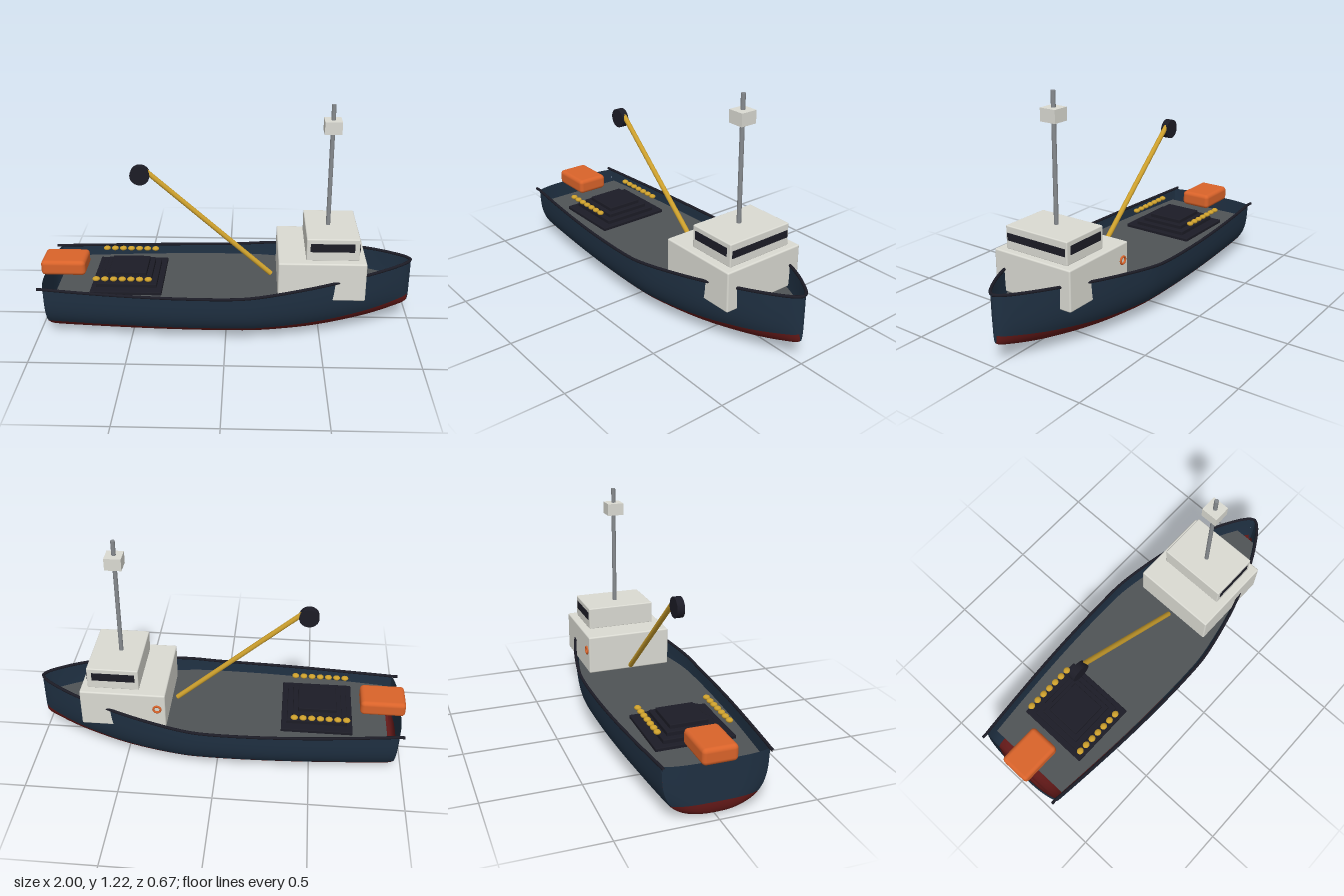
import * as THREE from 'three';
import { RoundedBoxGeometry } from 'three/addons/geometries/RoundedBoxGeometry.js';

const mat = (name, color, side = THREE.FrontSide) => {
  const m = new THREE.MeshStandardMaterial({ color, side });
  m.name = name;
  return m;
};

// Hull stations from stern to bow: x, half beam, sheer height, keel height, waterline height
const STATIONS = [
  [-0.952, 0.263, 0.293, 0.016, 0.084], [-0.935, 0.266, 0.293, 0.007, 0.084],
  [-0.89, 0.271, 0.292, 0.003, 0.084], [-0.7, 0.29, 0.288, 0.002, 0.084],
  [-0.45, 0.311, 0.285, 0.002, 0.084], [-0.2, 0.324, 0.284, 0.002, 0.085],
  [0.05, 0.328, 0.288, 0.003, 0.087], [0.2, 0.32, 0.301, 0.004, 0.089],
  [0.4, 0.282, 0.322, 0.01, 0.097], [0.56, 0.238, 0.338, 0.024, 0.108],
  [0.72, 0.178, 0.353, 0.046, 0.123], [0.83, 0.126, 0.36, 0.068, 0.137],
  [0.92, 0.072, 0.364, 0.092, 0.15], [0.965, 0.038, 0.366, 0.107, 0.157],
  [0.986, 0.013, 0.367, 0.122, 0.163],
];
const beamCurve = new THREE.CatmullRomCurve3(
  STATIONS.map((s) => new THREE.Vector3(s[0], s[1], s[2])), false, 'catmullrom', 0.5);
const keelCurve = new THREE.CatmullRomCurve3(
  STATIONS.map((s) => new THREE.Vector3(s[0], s[3], s[4])), false, 'catmullrom', 0.5);

function station(u) {
  const a = beamCurve.getPoint(u), b = keelCurve.getPoint(u);
  return { x: a.x, beam: a.y, sheer: a.z, keel: b.y, water: b.z };
}
// Flat floor, firm bilge and slightly flared side: half width at height y
function halfWidth(s, y) {
  const t = THREE.MathUtils.clamp((y - s.keel) / (s.sheer - s.keel), 0, 1);
  return s.beam * Math.pow(1 - Math.pow(1 - t, 3.6), 0.4) * (0.965 + 0.035 * t);
}

// Surface swept over a grid of u, v in 0..1
function grid(nu, nv, fn) {
  const pos = [], index = [];
  for (let i = 0; i <= nu; i++) {
    for (let j = 0; j <= nv; j++) {
      pos.push(...fn(i / nu, j / nv));
      if (i < nu && j < nv) {
        const a = i * (nv + 1) + j, b = a + nv + 1;
        index.push(a, b, a + 1, b, b + 1, a + 1);
      }
    }
  }
  const g = new THREE.BufferGeometry();
  g.setAttribute('position', new THREE.Float32BufferAttribute(pos, 3));
  g.setIndex(index);
  g.computeVertexNormals();
  return g;
}

// Bulged plate closing one end of the hull between two heights
function endPlate(s, low, high, bulge) {
  return grid(12, 24, (u, v) => {
    const y = low + (high - low) * u * u, k = v * 2 - 1;
    const rise = Math.min(1, (y - s.keel) / 0.06);
    const swell = Math.sqrt(rise * (2 - rise)) * (1 - k ** 4);
    return [s.x + bulge * swell, y, Math.sign(bulge) * k * halfWidth(s, y)];
  });
}

export function createModel() {
  const root = new THREE.Group();
  root.name = 'workBoat';
  const M = {
    navy: mat('hullNavy', 0x1f3042, THREE.DoubleSide),
    red: mat('bottomRed', 0x641918, THREE.DoubleSide),
    black: mat('black', 0x1c1c26),
    deck: mat('deckGrey', 0x4f5356),
    white: mat('houseWhite', 0xdadad2),
    orange: mat('orange', 0xd9632a),
    yellow: mat('yellow', 0xcc9f2c),
    steel: mat('mastGrey', 0x868a8e),
  };
  const add = (name, geometry, material, x = 0, y = 0, z = 0) => {
    const m = new THREE.Mesh(geometry, material);
    m.name = name;
    m.position.set(x, y, z);
    root.add(m);
    return m;
  };
  // Box given by its limits, optionally rounded
  const block = (name, material, [x0, x1], [y0, y1], [z0, z1], r = 0) => {
    const d = [x1 - x0, y1 - y0, z1 - z0];
    const g = r ? new RoundedBoxGeometry(...d, 3, r) : new THREE.BoxGeometry(...d);
    return add(name, g, material, (x0 + x1) / 2, (y0 + y1) / 2, (z0 + z1) / 2);
  };

  // Red bottom, one skin from side to side across the keel
  add('hullBottom', grid(90, 36, (u, v) => {
    const s = station(u), k = v * 2 - 1;
    const y = s.keel + (s.water - s.keel) * Math.pow(Math.abs(k), 2.5);
    return [s.x, y, Math.sign(k) * halfWidth(s, y)];
  }), M.red);

  // Navy topsides and rail caps on both sides
  for (const side of [1, -1]) {
    const label = side > 0 ? 'Front' : 'Back';
    add('topside' + label, grid(90, 12, (u, v) => {
      const s = station(u);
      const y = s.water + (s.sheer - s.water) * (side > 0 ? v : 1 - v);
      return [s.x, y, side * halfWidth(s, y)];
    }), M.navy);
    const railPoints = [new THREE.Vector3(-0.985, 0.293, side * 0.264)];
    for (let i = 0; i <= 40; i++) {
      const s = station(i / 40);
      railPoints.push(new THREE.Vector3(s.x, s.sheer, side * s.beam));
    }
    railPoints.push(new THREE.Vector3(0.991, 0.367, 0));
    add('rail' + label, new THREE.TubeGeometry(
      new THREE.CatmullRomCurve3(railPoints), 100, 0.008, 8), M.black);
  }

  // Bowed transom in two colour bands, and the rounded stem
  const stern = station(0), bow = station(1);
  add('transomBottom', endPlate(stern, stern.keel, stern.water, -0.026), M.red);
  add('transomTop', endPlate(stern, stern.water, stern.sheer, -0.026), M.navy);
  add('stem', endPlate(bow, bow.keel, bow.sheer, 0.006), M.navy);

  // Deck plate set inside the bulwarks
  const edge = [];
  for (let i = 0; i <= 60; i++) {
    const s = station(i / 60);
    if (s.x > -0.915 && s.x < 0.93) edge.push(new THREE.Vector2(s.x, s.beam * 0.92));
  }
  const outline = edge.concat(edge.map((p) => new THREE.Vector2(p.x, -p.y)).reverse());
  const deckGeometry = new THREE.ExtrudeGeometry(new THREE.Shape(outline),
    { depth: 0.015, bevelEnabled: false });
  deckGeometry.rotateX(-Math.PI / 2);
  add('deck', deckGeometry, M.deck, 0, 0.222, 0);

  // Deckhouse and bridge
  block('deckhouse', M.white, [0.272, 0.727], [0.236, 0.449], [-0.235, 0.235], 0.008);
  block('bridge', M.white, [0.416, 0.69], [0.446, 0.568], [-0.19, 0.19], 0.006);
  block('bridgeFrontWindow', M.black, [0.686, 0.694], [0.493, 0.531], [-0.179, 0.179]);
  for (const side of [1, -1]) {
    const z = side * 0.19;
    block('bridgeSideWindow', M.black, [0.436, 0.664], [0.497, 0.542], [z - 0.003, z + 0.003]);
  }
  add('lifeRing', new THREE.TorusGeometry(0.019, 0.006, 8, 24), M.orange, 0.316, 0.362, -0.237);

  // Mast with its lamp box
  add('mast', new THREE.CylinderGeometry(0.0115, 0.0115, 0.67, 16), M.steel, 0.537, 0.891, 0);
  block('mastBox', M.white, [0.493, 0.581], [1.08, 1.146], [-0.045, 0.045]);

  // Slanted boom with a sheave at its head
  const foot = new THREE.Vector3(0.24, 0.268, -0.003);
  const tip = new THREE.Vector3(-0.425, 0.86, -0.003);
  const dir = tip.clone().sub(foot);
  const boom = add('boom', new THREE.CylinderGeometry(0.0135, 0.0135, dir.length(), 16), M.yellow);
  boom.position.copy(foot).add(tip).multiplyScalar(0.5);
  boom.quaternion.setFromUnitVectors(new THREE.Vector3(0, 1, 0), dir.normalize());
  const sheave = add('boomSheave', new THREE.CylinderGeometry(0.052, 0.052, 0.038, 24),
    M.black, -0.455, 0.837, 0);
  sheave.rotation.x = Math.PI / 2;

  // Stepped hatch
  const steps = [[0.19, 0.205, 0.254], [0.16, 0.155, 0.275], [0.13, 0.125, 0.296], [0.102, 0.1, 0.317]];
  for (const [hx, hz, top] of steps) {
    block('hatchStep', M.black, [-0.53 - hx, -0.53 + hx], [0.23, top], [-hz, hz], 0.004);
  }
  // Rows of floats along the hatch
  const floatGeometry = new THREE.SphereGeometry(0.02, 14, 10).scale(1, 0.6, 0.9);
  for (const z of [-0.184, 0.184]) {
    for (let i = 0; i < 7; i++) {
      add('float', floatGeometry, M.yellow, -0.683 + i * 0.0458, 0.32, z);
    }
  }

  // Raft canister on the stern
  block('raftCanister', M.orange, [-1, -0.76], [0.281, 0.365], [-0.088, 0.088], 0.022);
  return root;
}
